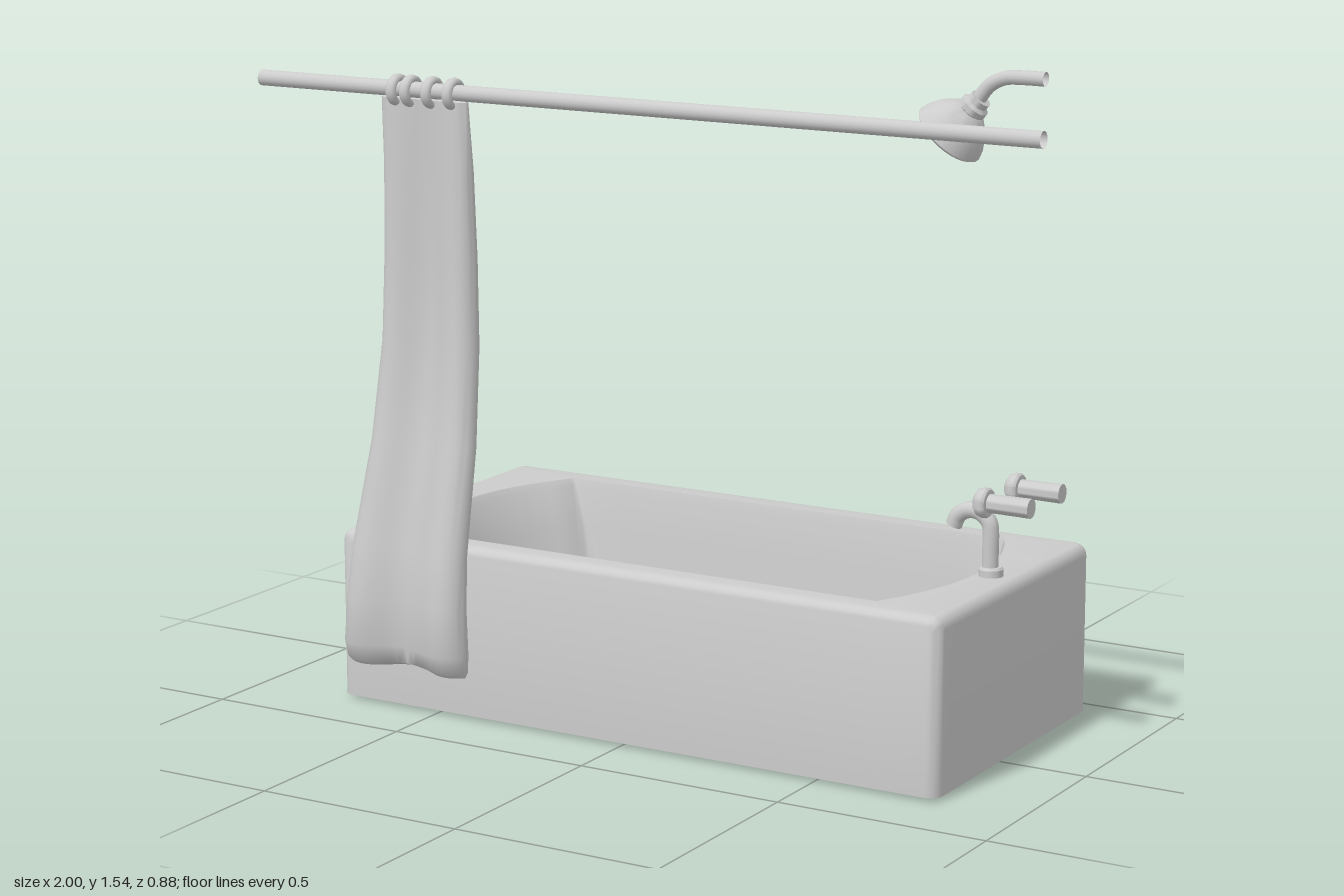
import * as THREE from 'three';
import { toCreasedNormals } from 'three/addons/utils/BufferGeometryUtils.js';

const material = new THREE.MeshStandardMaterial({ color: 0xcccccc, side: THREE.DoubleSide });
const MID_Z = -0.052; // centre line of the tub and its fittings

function mesh(name, geometry, x = 0, y = 0, z = 0) {
  const m = new THREE.Mesh(geometry, material);
  m.name = name;
  m.position.set(x, y, z);
  return m;
}

// Skin a list of closed rings that share one point count
function loft(rings, crease) {
  const n = rings[0].length, index = [];
  for (let r = 0; r < rings.length - 1; r++) {
    for (let i = 0; i < n; i++) {
      const a = r * n + i, b = r * n + (i + 1) % n;
      index.push(a, b, a + n, b, b + n, a + n);
    }
  }
  const g = new THREE.BufferGeometry();
  g.setAttribute('position', new THREE.Float32BufferAttribute(rings.flat(2), 3));
  g.setIndex(index);
  return toCreasedNormals(g, crease);
}

function lathe(points, segments = 24) {
  const profile = points.map(([r, y]) => new THREE.Vector2(r, y));
  return toCreasedNormals(new THREE.LatheGeometry(profile, segments), 0.6);
}

function tube(points, radius, segments = 24) {
  const curve = new THREE.CatmullRomCurve3(points.map(([x, y]) => new THREE.Vector3(x, y, 0)));
  return new THREE.TubeGeometry(curve, segments, radius, 14, false);
}

// Rounded rectangle at height y whose left and right ends may bow outwards
function tubRing(y, x0, x1, z0, z1, r, bowL = 0, bowR = 0) {
  const pts = [], side = 12, arc = 5;
  const corners = [[x1 - r, z1 - r, 0], [x0 + r, z1 - r, 1], [x0 + r, z0 + r, 2], [x1 - r, z0 + r, 3]];
  corners.forEach(([cx, cz, q], k) => {
    for (let i = 0; i <= arc; i++) {
      const a = (q + i / arc) * Math.PI / 2;
      pts.push([cx + r * Math.cos(a), y, cz + r * Math.sin(a)]);
    }
    const [nx, nz, nq] = corners[(k + 1) % 4], e = nq * Math.PI / 2;
    const start = pts[pts.length - 1];
    const end = [nx + r * Math.cos(e), nz + r * Math.sin(e)];
    for (let i = 1; i < side; i++) {
      const t = i / side, bow = 4 * t * (1 - t);
      const push = k === 1 ? -bowL * bow : k === 3 ? bowR * bow : 0;
      pts.push([start[0] + (end[0] - start[0]) * t + push, y, start[2] + (end[1] - start[2]) * t]);
    }
  });
  return pts;
}

function bathtub() {
  const rings = [], lerp = THREE.MathUtils.lerp, bevel = 0.029;
  // Outer walls, open underneath, with a rounded top edge
  const outer = (y, d) => tubRing(y, -0.77 + d, 0.8 - d, -0.442 + d, 0.336 - d, 0.03 - d * 0.8);
  rings.push(outer(0.008, 0));
  for (let i = 0; i <= 5; i++) {
    const a = i / 5 * Math.PI / 2;
    rings.push(outer(0.41 - bevel * (1 - Math.sin(a)), bevel * (1 - Math.cos(a))));
  }
  // Basin: [height, share of the way from rim outline to floor outline]
  const basin = [[0.41, 0], [0.395, 0.06], [0.3, 0.27], [0.2, 0.46], [0.13, 0.6],
    [0.09, 0.71], [0.066, 0.82], [0.052, 0.94], [0.047, 1.08]];
  for (const [y, f] of basin) {
    rings.push(tubRing(y, lerp(-0.57, -0.42, f), lerp(0.62, 0.58, f), lerp(-0.37, -0.3, f),
      lerp(0.268, 0.195, f), lerp(0.012, 0.07, f), lerp(0.1, 0.05, f), lerp(0.08, 0.03, f)));
  }
  // Floor
  rings.push(rings[0].map(() => [0.08, 0.047, MID_Z]));
  return mesh('bathtub', loft(rings, 0.65));
}

function curtain() {
  // [height, left x, right x, back z, front z, sheet thickness]
  const rows = [
    [1.435, -0.655, -0.43, 0.283, 0.287, 0], [1.43, -0.66, -0.425, 0.268, 0.302, 0.028],
    [1.27, -0.66, -0.422, 0.241, 0.306, 0.05], [1.07, -0.661, -0.415, 0.232, 0.313, 0.058],
    [0.87, -0.663, -0.406, 0.238, 0.326, 0.06], [0.64, -0.675, -0.396, 0.27, 0.36, 0.062],
    [0.4, -0.692, -0.386, 0.326, 0.42, 0.066], [0.28, -0.7, -0.38, 0.336, 0.438, 0.068],
    [0.17, -0.708, -0.374, 0.338, 0.441, 0.068], [0.13, -0.705, -0.376, 0.347, 0.428, 0.05],
    [0.117, -0.698, -0.38, 0.36, 0.412, 0]];
  const n = 28;
  const rings = rows.map(([y, x0, x1, back, front, thick]) => {
    const ring = [];
    const amp = (front - back - thick) / 2;
    for (const face of [1, -1]) {
      for (let i = 0; i < n; i++) {
        // The middle folds backwards, both sides bulge forwards
        const u = -face * Math.cos(Math.PI * i / n);
        const half = thick / 2 * Math.sqrt(1 - u ** 8);
        const z = (front + back) / 2 - amp * Math.cos(Math.PI * u * 1.4) + face * half;
        ring.push([(x0 + x1) / 2 + u * (x1 - x0) / 2, y, z]);
      }
    }
    return ring;
  });
  return mesh('curtain', loft(rings, 1));
}

function shower() {
  const g = new THREE.Group();
  g.name = 'shower';
  g.add(mesh('showerArm', tube([[0.845, 1.528], [0.79, 1.528], [0.75, 1.525], [0.712, 1.507], [0.675, 1.46]], 0.016), 0, 0, MID_Z));
  const head = mesh('showerHead', lathe([[0, 0], [0.079, 0], [0.085, 0.006], [0.08, 0.022], [0.064, 0.05],
    [0.042, 0.074], [0.027, 0.08], [0.033, 0.084], [0.033, 0.098], [0.024, 0.104], [0.024, 0.118], [0, 0.118]], 28), 0.612, 1.389, MID_Z);
  head.rotation.z = -Math.atan2(0.67, 0.74);
  g.add(head);
  return g;
}

function faucet() {
  const g = new THREE.Group();
  g.name = 'faucet';
  const path = [[0.732, 0.41], [0.732, 0.46], [0.732, 0.51]];
  for (let i = 1; i <= 6; i++) {
    const a = i / 6 * Math.PI * 0.95;
    path.push([0.687 + 0.047 * Math.cos(a), 0.508 + 0.047 * Math.sin(a)]);
  }
  g.add(mesh('spout', tube(path, 0.019, 32), 0, 0, MID_Z));
  g.add(mesh('spoutBase', lathe([[0.028, 0], [0.028, 0.018], [0.024, 0.023], [0, 0.023]]), 0.734, 0.408, MID_Z));
  // Pair of taps pointing out of the wall
  for (const z of [0.029, -0.131]) {
    const tap = mesh('tap', lathe([[0, 0], [0.022, 0], [0.021, 0.1], [0.03, 0.101], [0.034, 0.106],
      [0.034, 0.116], [0.03, 0.126], [0.021, 0.133], [0.01, 0.136], [0, 0.137]]), 0.868, 0.597, z);
    tap.rotation.z = Math.PI / 2;
    g.add(tap);
  }
  return g;
}

export function createModel() {
  const model = new THREE.Group();
  model.name = 'bathtubWithShower';
  model.add(bathtub(), curtain(), shower(), faucet());

  // Drain through the tub floor
  model.add(mesh('drain', lathe([[0, 0], [0.026, 0], [0.031, 0.005], [0.031, 0.045], [0.041, 0.048],
    [0.041, 0.053], [0.035, 0.056], [0.018, 0.054], [0.014, 0.04], [0, 0.04]], 16), 0.518, 0, -0.057));

  // Hollow curtain rod and its rings
  const rod = mesh('curtainRod', new THREE.CylinderGeometry(0.0185, 0.0185, 2, 20, 1, true), 0, 1.45, 0.285);
  rod.rotation.z = Math.PI / 2;
  model.add(rod);
  for (const x of [-0.615, -0.578, -0.52, -0.462]) {
    const band = new THREE.TorusGeometry(0.028, 0.0095, 10, 24).scale(1, 1, 1.4);
    const ring = mesh('curtainRing', band, x, 1.447, 0.288);
    ring.rotation.y = Math.PI / 2;
    model.add(ring);
  }
  return model;
}
